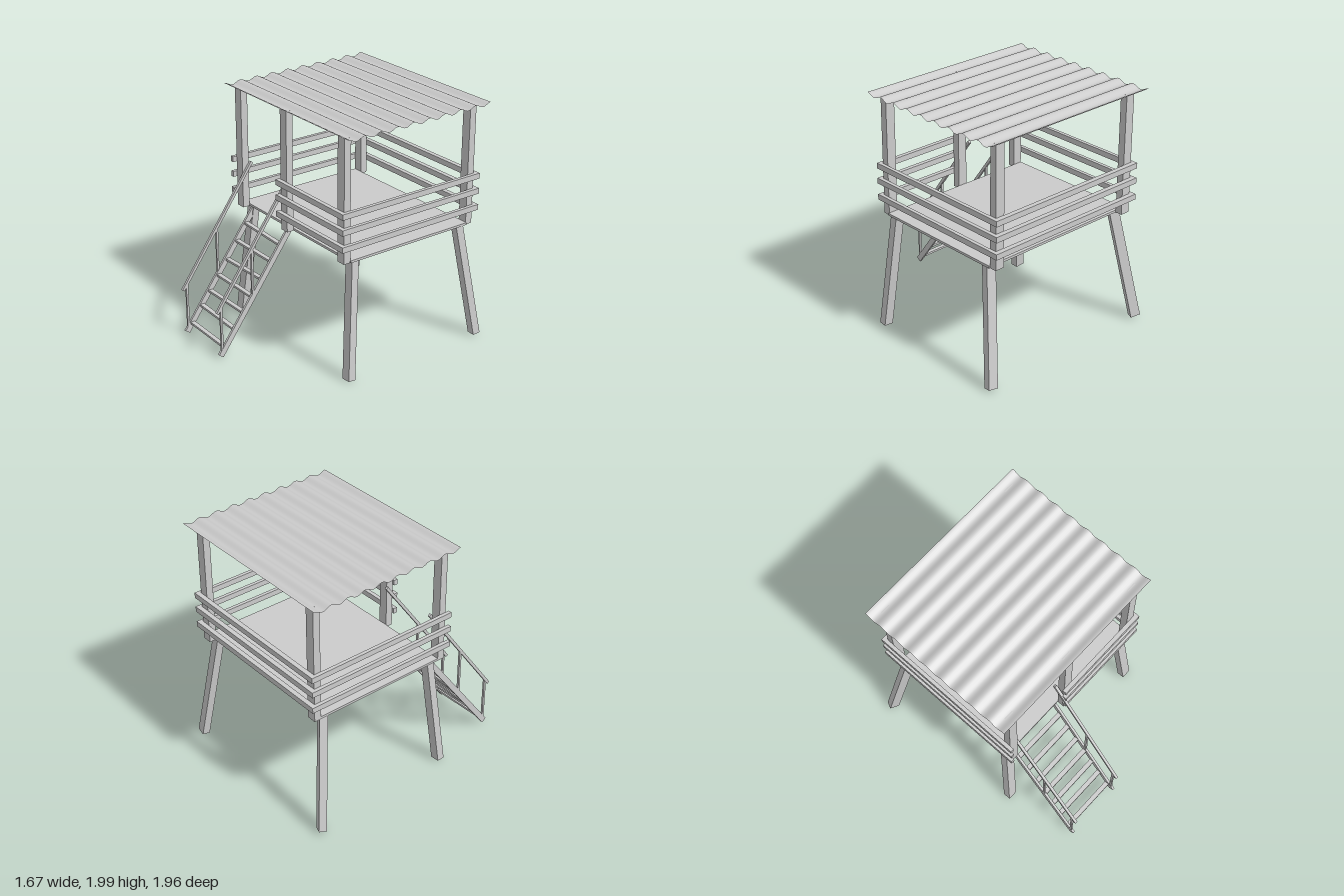
import * as THREE from 'three';

const material = new THREE.MeshStandardMaterial({ color: 0xcccccc });
const sheetMaterial = new THREE.MeshStandardMaterial({ color: 0xcccccc, side: THREE.DoubleSide });

export function createModel() {
  const model = new THREE.Group();

  // Box given by its extents on each axis
  function block(name, [x0, x1], [y0, y1], [z0, z1]) {
    const mesh = new THREE.Mesh(new THREE.BoxGeometry(x1 - x0, y1 - y0, z1 - z0), material);
    mesh.position.set((x0 + x1) / 2, (y0 + y1) / 2, (z0 + z1) / 2);
    mesh.name = name;
    model.add(mesh);
  }

  // Beam of section w x d between two points, twisted about its length
  function beam(name, from, to, w, d, twist = 0) {
    const a = new THREE.Vector3(...from), b = new THREE.Vector3(...to);
    const up = new THREE.Vector3(0, 1, 0);
    const mesh = new THREE.Mesh(new THREE.BoxGeometry(w, a.distanceTo(b), d), material);
    mesh.position.copy(a).add(b).multiplyScalar(0.5);
    mesh.quaternion.setFromUnitVectors(up, b.clone().sub(a).normalize());
    mesh.rotateY(twist);
    mesh.name = name;
    model.add(mesh);
  }

  // Floor
  block('platform', [-0.69, 0.73], [0.98, 1.0], [-0.84, 0.31]);

  // Four corner posts and one beside the entrance
  for (const [x, z] of [[-0.65, 0.34], [-0.04, 0.34], [0.68, 0.34], [-0.65, -0.87], [0.68, -0.87]]) {
    block('post', [x - 0.04, x + 0.04], [0.98, 1.975], [z - 0.03, z + 0.03]);
  }

  // Splayed legs
  beam('frontRightLeg', [-0.70, 0.012, 0.345], [-0.62, 0.98, 0.26], 0.08, 0.062);
  beam('frontLeftLeg', [0.76, 0.012, 0.345], [0.68, 0.98, 0.26], 0.08, 0.062);
  beam('backRightLeg', [-0.79, 0.025, -0.93], [-0.635, 0.98, -0.785], 0.08, 0.062, -0.42);
  beam('backLeftLeg', [0.785, 0.02, -0.925], [0.68, 0.98, -0.785], 0.08, 0.062, -0.14);

  // Three rails around the platform, open at the stairs
  for (const y of [1.115, 1.253, 1.38]) {
    const height = [y - 0.023, y + 0.023];
    block('frontRail', [-0.1, 0.75], height, [0.37, 0.405]);
    block('backRail', [-0.72, 0.75], height, [-0.94, -0.9]);
    block('leftRail', [0.72, 0.75], height, [-0.94, 0.405]);
    block('rightRail', [-0.72, -0.69], height, [-0.94, 0.405]);
  }

  // Stair sides with handrails and balusters
  for (const x of [-0.6, -0.1]) {
    beam('stairStringer', [x, 0.035, 0.955], [x, 0.965, 0.27], 0.02, 0.048);
    beam('handrail', [x, 0.415, 0.977], [x, 1.365, 0.292], 0.022, 0.024);
    block('baluster', [x - 0.009, x + 0.009], [0.07, 0.455], [0.931, 0.949]);
    block('baluster', [x - 0.009, x + 0.009], [0.48, 0.88], [0.631, 0.649]);
  }

  // Slightly crooked treads: height and tilt
  const treads = [[0.1, -0.01], [0.23, -0.014], [0.345, 0.006], [0.46, 0],
    [0.583, 0.016], [0.715, 0], [0.84, -0.016]];
  for (const [y, tilt] of treads) {
    const z = 0.955 - 0.735 * (y - 0.03);
    beam('tread', [-0.595, y - tilt / 2, z], [-0.105, y + tilt / 2, z], 0.018, 0.038);
  }

  // Corrugated roof sheet, waves running along z
  const waves = 9, depth = 1.37;
  const sheet = new THREE.PlaneGeometry(1.59, depth, 1, waves * 12);
  sheet.rotateX(-Math.PI / 2);
  const p = sheet.attributes.position;
  for (let i = 0; i < p.count; i++) {
    p.setY(i, 0.013 * Math.cos((p.getZ(i) / depth + 0.5) * waves * Math.PI * 2));
  }
  sheet.computeVertexNormals();
  const roof = new THREE.Mesh(sheet, sheetMaterial);
  roof.position.set(0.015, 1.987, -0.275);
  roof.name = 'corrugatedRoof';
  model.add(roof);

  return model;
}
